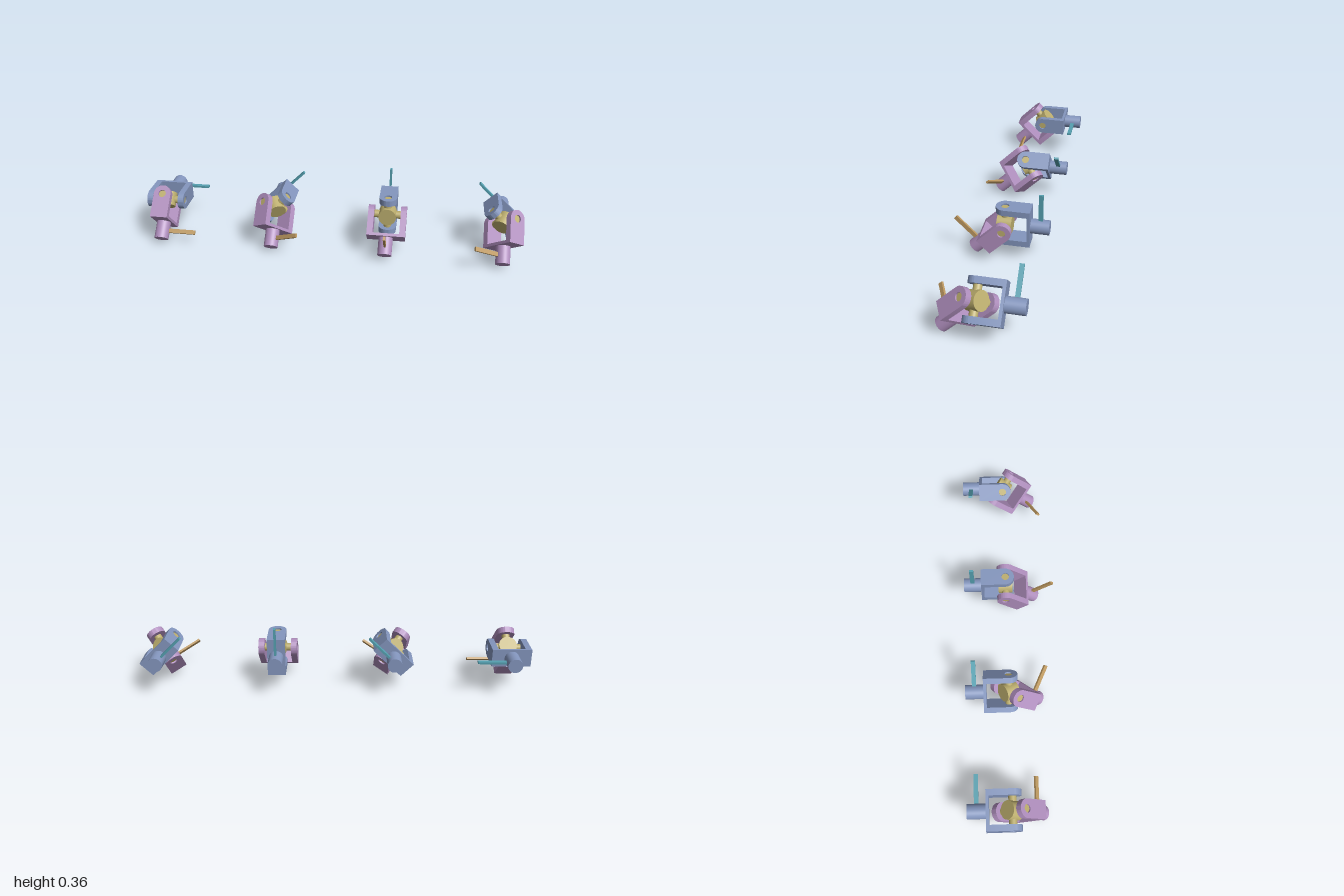
import * as THREE from 'three';
import { toCreasedNormals } from 'three/addons/utils/BufferGeometryUtils.js';

const HALF = 0.1;        // fork half span
const ARM = 0.031;       // arm thickness
const W = 0.046;         // arm half width, tip radius
const BASE = 0.13;       // joint centre to back of fork
const PLATE = 0.015;     // back plate thickness
const SHAFT_END = 0.223;
const SHAFT_R = 0.037;
const PIN_R = 0.02;
const POINTER = 0.18;

const mat = (color) => new THREE.MeshStandardMaterial({ color });

function add(parent, name, geometry, material, x = 0, y = 0, z = 0) {
  const mesh = new THREE.Mesh(geometry, material);
  mesh.name = name;
  mesh.position.set(x, y, z);
  parent.add(mesh);
  return mesh;
}

// Fork arm outline: rounded tip around the pin hole
function armGeometry() {
  const s = new THREE.Shape();
  s.moveTo(W, BASE);
  s.lineTo(-W, BASE);
  s.lineTo(-W, 0);
  s.absarc(0, 0, W, Math.PI, 2 * Math.PI, false);
  s.closePath();
  const hole = new THREE.Path();
  hole.absarc(0, 0, PIN_R, 0, 2 * Math.PI, true);
  s.holes.push(hole);
  const g = new THREE.ExtrudeGeometry(s, { depth: ARM, bevelEnabled: false, curveSegments: 24 });
  return toCreasedNormals(g, 0.6);
}

// Fork with shaft along local +y and arms at local +z and -z
function makeFork(name, material) {
  const fork = new THREE.Group();
  fork.name = name;
  const arm = armGeometry();
  add(fork, 'forkArm', arm, material, 0, 0, HALF - ARM);
  add(fork, 'forkArm', arm, material, 0, 0, -HALF);
  add(fork, 'forkPlate', new THREE.BoxGeometry(2 * W, PLATE, 2 * (HALF - ARM)), material, 0, BASE - PLATE / 2, 0);
  const len = SHAFT_END - BASE;
  add(fork, 'shaft', new THREE.CylinderGeometry(SHAFT_R, SHAFT_R, len, 40), material, 0, BASE + len / 2, 0);
  return fork;
}

// Cross: hub along local y, pins along local x and z
function makeCross(material) {
  const cross = new THREE.Group();
  cross.name = 'cross';
  add(cross, 'hub', new THREE.CylinderGeometry(W, W, 0.074, 40), material);
  const pin = new THREE.CylinderGeometry(PIN_R, PIN_R, 0.184, 32);
  add(cross, 'pin', pin, material).rotation.z = Math.PI / 2;
  add(cross, 'pin', pin, material).rotation.x = Math.PI / 2;
  return cross;
}

// Orient a group from its local y and z directions
function orient(group, y, z) {
  const x = new THREE.Vector3().crossVectors(y, z);
  group.quaternion.setFromRotationMatrix(new THREE.Matrix4().makeBasis(x, y, z));
}

export function createModel() {
  const blue = mat(0x8496be), purple = mat(0xb08fbe), yellow = mat(0xbcae6e);
  const teal = mat(0x55a0b0), tan = mat(0xbc9860);
  const model = new THREE.Group();
  model.name = 'universalJoints';

  const inAxis = new THREE.Vector3(0, 0, -1);
  const outAxis = new THREE.Vector3(0, -1, 1).normalize();
  const pointerY = 0.177;

  // Four joints, each turned a further 45 degrees
  for (let i = 0; i < 4; i++) {
    const t = (i * Math.PI) / 4;
    const inArm = new THREE.Vector3(Math.cos(t), Math.sin(t), 0);
    const outArm = new THREE.Vector3().crossVectors(inArm, outAxis).normalize();

    const joint = new THREE.Group();
    joint.name = 'joint' + (i + 1);
    joint.position.set(-0.9 + 0.6 * i - 0.0015, 0.184, -0.018);

    const input = makeFork('inputFork', blue);
    add(input, 'inputPointer', new THREE.BoxGeometry(0.011, 0.022, POINTER), teal, 0, pointerY, POINTER / 2);
    orient(input, inAxis, inArm);

    const output = makeFork('outputFork', purple);
    add(output, 'outputPointer', new THREE.BoxGeometry(POINTER, 0.022, 0.011), tan, POINTER / 2, pointerY, 0);
    orient(output, outAxis, outArm);

    const cross = makeCross(yellow);
    orient(cross, new THREE.Vector3().crossVectors(outArm, inArm), outArm);

    joint.add(input, output, cross);
    model.add(joint);
  }
  return model;
}
